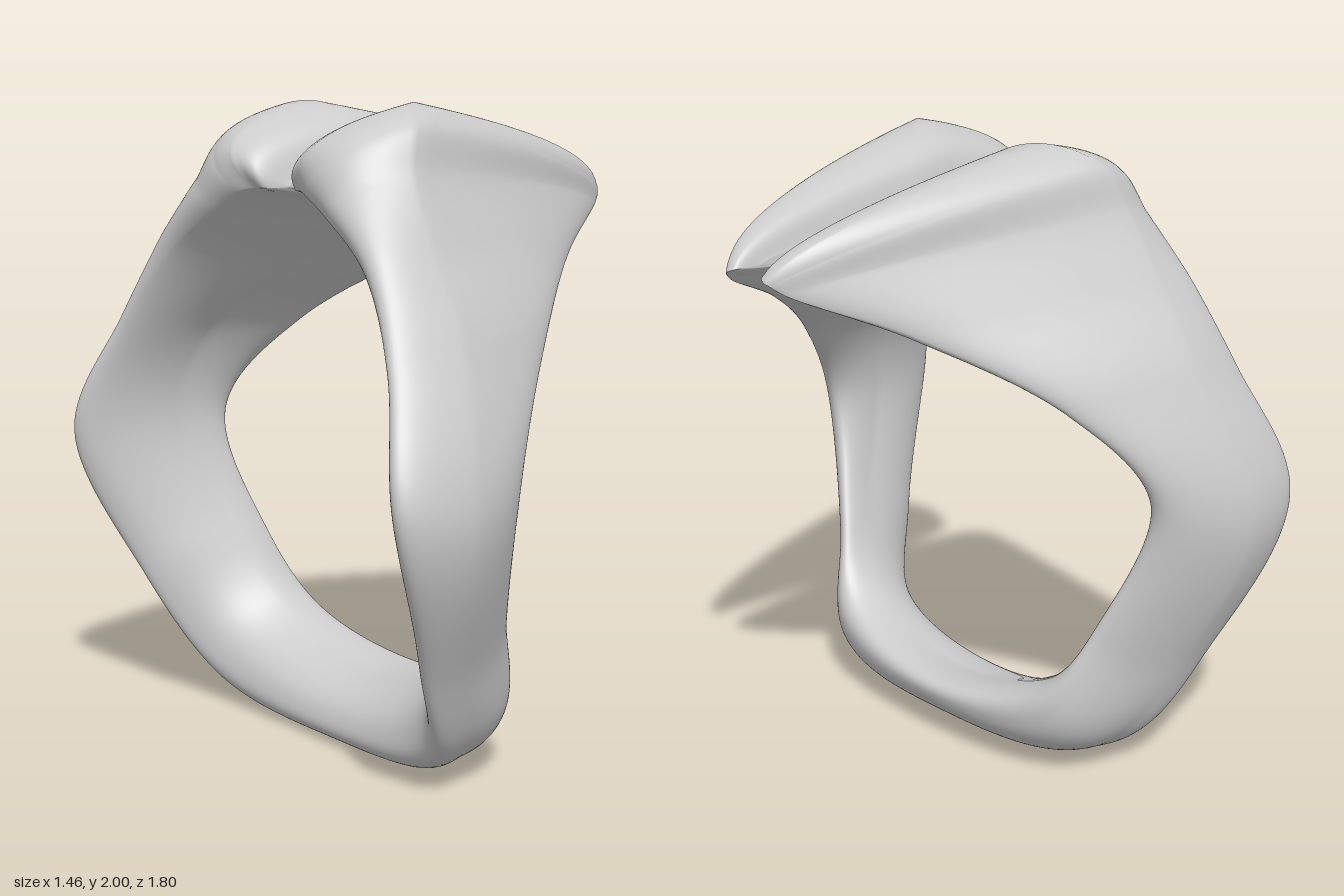
import * as THREE from 'three';

// Cross-sections of one half, from the base up to the split.
// Each: back edge, outer crest, front edge, inner middle.
const HALF = [
  [[-.35, .09, 0], [-.22, 0, 0], [.02, .15, 0], [-.15, .195, 0]],
  [[-.39, .18, .53], [-.25, .08, .54], [-.03, .23, .49], [-.18, .33, .44]],
  [[-.54, .48, .7], [-.4, .42, .745], [-.15, .5, .63], [-.28, .6, .615]],
  [[-.73, .94, .82], [-.5, .88, .9], [-.22, .95, .76], [-.41, .96, .715]],
  [[-.64, 1.28, .69], [-.4, 1.34, .735], [0, 1.27, .61], [-.35, 1.22, .64]],
  [[-.57, 1.53, .5], [-.38, 1.6, .58], [.36, 1.52, .33], [-.2, 1.44, .41]],
  [[-.54, 1.68, .27], [-.36, 1.8, .47], [.67, 1.66, .13], [-.05, 1.6, .18]],
  [[-.53, 1.73, .17], [-.3, 1.94, .41], [.71, 1.69, .1], [0, 1.66, .09]],
  [[-.51, 1.74, .12], [-.2, 1.995, .26], [.72, 1.7, .085], [.05, 1.68, .05]],
  [[-.5, 1.74, .08], [-.13, 1.94, .11], [.71, 1.71, .062], [.05, 1.69, .038]],
  [[-.42, 1.74, .055], [0, 1.78, .045], [.62, 1.71, .05], [.05, 1.71, .038]],
];
// Below 1 fills out a quarter arc, 1 is elliptical, 2 is a straight chord
const OUTER = [.85, .85, .9, .95, 1, 1, 1.1, 1, .72, .75, 1];
const INNER = [.85, .85, .9, .95, 1, 1.2, 1.6, 1.7, 1.7, 1.7, 1.5];

// Read a roundness list at a fractional distance from the base
function roundness(list, u) {
  const a = Math.min(Math.floor(u), list.length - 2);
  return THREE.MathUtils.lerp(list[a], list[a + 1], u - a);
}

// Loft closed sections, with four quarter arcs each, and cap both ends
function loft(sections, steps, quarter) {
  const rails = [0, 1, 2, 3].map(k =>
    new THREE.CatmullRomCurve3(sections.map(s => new THREE.Vector3(...s[k]))));
  const around = quarter * 4;
  const row = around + 1;
  const pos = [], idx = [];
  for (let i = 0; i <= steps; i++) {
    const p = rails.map(r => r.getPoint(i / steps));
    const c = p[1].clone().lerp(p[3], .5);
    const u = Math.abs(2 * i / steps - 1) * (HALF.length - 1);
    const outer = roundness(OUTER, u), inner = roundness(INNER, u);
    for (let j = 0; j < around; j++) {
      const q = Math.floor(j / quarter), ang = (j % quarter) / quarter * Math.PI / 2;
      const e = q < 2 ? outer : inner;
      const v = c.clone()
        .addScaledVector(p[q].clone().sub(c), Math.cos(ang) ** e)
        .addScaledVector(p[(q + 1) % 4].clone().sub(c), Math.sin(ang) ** e);
      pos.push(v.x, v.y, v.z);
    }
    // section centre, used by the caps
    pos.push(c.x, c.y, c.z);
  }
  const end = steps * row;
  for (let j = 0; j < around; j++) {
    const k = (j + 1) % around;
    for (let i = 0; i < steps; i++) {
      const a = i * row + j, b = i * row + k;
      idx.push(a, b, a + row, b, b + row, a + row);
    }
    idx.push(around, k, j, end + around, end + j, end + k);
  }
  const g = new THREE.BufferGeometry();
  g.setAttribute('position', new THREE.Float32BufferAttribute(pos, 3));
  g.setIndex(idx);
  g.computeVertexNormals();
  return g;
}

export function createModel() {
  const group = new THREE.Group();
  group.name = 'splitRing';
  // the other half mirrors in z, so the band runs unbroken through the base
  const mirrored = HALF.slice(1).reverse().map(s => s.map(([x, y, z]) => [x, y, -z]));
  const band = new THREE.Mesh(
    loft([...mirrored, ...HALF], 280, 20),
    new THREE.MeshStandardMaterial({ color: 0xcccccc }));
  band.name = 'ringBand';
  group.add(band);
  return group;
}
